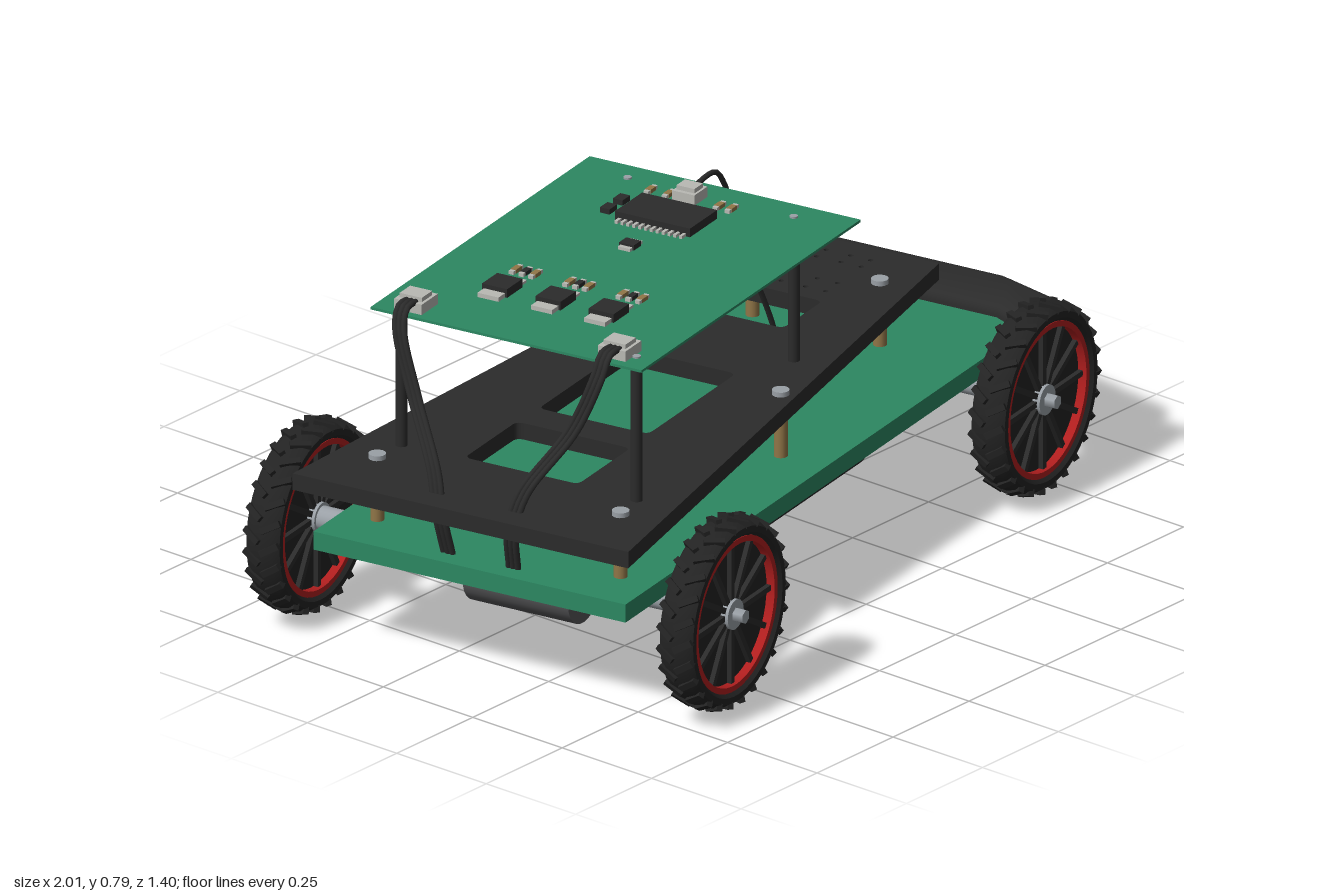
import * as THREE from 'three';
import { RoundedBoxGeometry } from 'three/addons/geometries/RoundedBoxGeometry.js';
import { toCreasedNormals, mergeGeometries } from 'three/addons/utils/BufferGeometryUtils.js';

const paint = (name, color) => {
  const m = new THREE.MeshStandardMaterial({ color });
  m.name = name;
  return m;
};

export function createModel() {
  const black = paint('blackPlastic', 0x2b2b2b);
  const rubber = paint('tyreRubber', 0x232323);
  const green = paint('boardGreen', 0x2c8862);
  const red = paint('rimRed', 0xb01e1e);
  const steel = paint('steelGrey', 0x9aa0a6);
  const light = paint('connectorGrey', 0xb9b9b4);
  const brass = paint('brass', 0x917648);
  const motorGrey = paint('motorGrey', 0x555557);

  const model = new THREE.Group();
  model.name = 'robotCar';
  model.rotation.y = 0.176;
  // Car space: x runs to the front, z is sideways, symmetric about z = 0
  const car = new THREE.Group();
  car.name = 'car';
  car.position.z = -0.012;
  model.add(car);

  const add = (name, geo, mat, x = 0, y = 0, z = 0, parent = car) => {
    const m = new THREE.Mesh(geo, mat);
    m.name = name;
    m.position.set(x, y, z);
    parent.add(m);
    return m;
  };
  const box = (name, mat, w, h, d, x, y, z) =>
    add(name, new THREE.BoxGeometry(w, h, d), mat, x, y, z);
  const rod = (name, mat, r, y0, y1, x, z) =>
    add(name, new THREE.CylinderGeometry(r, r, y1 - y0, 16), mat, x, (y0 + y1) / 2, z);
  const crossRod = (r, len, sides = 24) =>
    new THREE.CylinderGeometry(r, r, len, sides).rotateX(Math.PI / 2);

  // Lower board
  box('lowerBoard', green, 1.72, 0.042, 0.77, -0.04, 0.256, 0);

  // Tapered deck with three windows and small fixing holes
  const deck = new THREE.Shape([[-0.938, -0.414], [0.718, -0.214], [0.718, 0.214], [-0.938, 0.414]]
    .map(p => new THREE.Vector2(...p)));
  const windowHole = (x0, x1, h, r = 0.018) => {
    const p = new THREE.Path();
    p.moveTo(x0 + r, -h);
    p.lineTo(x1 - r, -h).quadraticCurveTo(x1, -h, x1, -h + r);
    p.lineTo(x1, h - r).quadraticCurveTo(x1, h, x1 - r, h);
    p.lineTo(x0 + r, h).quadraticCurveTo(x0, h, x0, h - r);
    p.lineTo(x0, -h + r).quadraticCurveTo(x0, -h, x0 + r, -h);
    deck.holes.push(p);
  };
  windowHole(-0.68, -0.46, 0.14);
  windowHole(-0.375, -0.005, 0.135);
  windowHole(0.255, 0.42, 0.1);
  for (const x of [0.47, 0.52, 0.62, 0.66]) for (const z of [-0.08, -0.03, 0.03, 0.08]) {
    deck.holes.push(new THREE.Path().absarc(x, z, 0.006, 0, Math.PI * 2));
  }
  add('deck', new THREE.ExtrudeGeometry(deck, { depth: 0.038, bevelEnabled: false, curveSegments: 5 })
    .rotateX(-Math.PI / 2), black, 0, 0.382, 0);

  // Upper circuit board
  box('upperBoard', green, 0.926, 0.006, 0.668, -0.282, 0.749, 0);

  // Pillars, spacers and screws, mirrored
  for (const s of [1, -1]) {
    for (const [x, z] of [[-0.69, 0.29], [0.12, 0.205]]) {
      rod('pillar', black, 0.013, 0.42, 0.746, x, s * z);
      rod('pillarScrew', steel, 0.009, 0.75, 0.756, x, s * z);
    }
    for (const [x, z] of [[-0.775, 0.3], [-0.05, 0.272], [0.566, 0.157]]) {
      rod('spacer', brass, 0.015, 0.277, 0.382, x, s * z);
      rod('spacerScrew', steel, 0.019, 0.42, 0.431, x, s * z);
      rod('lowerScrew', steel, 0.017, 0.226, 0.235, x, s * z);
    }
  }

  // Battery case and motors under the lower board
  add('batteryCase', new RoundedBoxGeometry(0.89, 0.165, 0.46, 4, 0.04), black, -0.025, 0.157, 0);
  for (const x of [0.59, -0.69]) add('motor', crossRod(0.068, 0.26, 28), motorGrey, x, 0.175, 0.03);

  // Swept bumper
  const half = [[0.815, 0.3], [0.75, 0.43], [0.728, 0.475], [0.742, 0.496], [0.86, 0.498],
    [0.885, 0.485], [0.9, 0.455], [0.962, 0.262], [0.97, 0.235]];
  const outline = [...half, ...half.slice().reverse().map(([x, z]) => [x, -z])];
  const bumperShape = new THREE.Shape(outline.map(p => new THREE.Vector2(...p)));
  const bumperGeo = new THREE.ExtrudeGeometry(bumperShape, {
    depth: 0.13, bevelThickness: 0.025, bevelSize: 0.025, bevelOffset: -0.025, bevelSegments: 4,
  }).rotateX(-Math.PI / 2);
  add('bumper', toCreasedNormals(bumperGeo, 0.6), black, 0, 0.153, 0);
  for (const z of [-0.237, 0, 0.237]) {
    add('sensor', new THREE.CylinderGeometry(0.022, 0.028, 0.016, 24).rotateZ(-Math.PI / 2), steel, 0.971, 0.255, z);
  }

  // Wheel geometries, axle along z
  const ring = pts => new THREE.LatheGeometry(pts.map(p => new THREE.Vector2(...p)), 48).rotateX(Math.PI / 2);
  const tyreGeo = toCreasedNormals(ring([[0.172, -0.03], [0.182, -0.041], [0.196, -0.041], [0.206, -0.026],
    [0.209, 0], [0.206, 0.026], [0.196, 0.041], [0.182, 0.041], [0.172, 0.03], [0.172, -0.03]]), 0.6);
  const rimGeo = toCreasedNormals(ring([[0.161, -0.034], [0.174, -0.034], [0.174, 0.034],
    [0.161, 0.034], [0.161, -0.034]]), 0.5);
  const lugs = [], spokes = [];
  for (let i = 0; i < 26; i++) for (const s of [1, -1]) {
    const a = ((i + (s > 0 ? 0.5 : 0)) / 26) * Math.PI * 2;
    lugs.push(new THREE.BoxGeometry(0.014, 0.016, 0.046).rotateX(s * 0.2).rotateY(s * 0.55)
      .translate(0, 0.2045, s * 0.021).rotateZ(a));
  }
  for (let i = 0; i < 12; i++) {
    spokes.push(new THREE.BoxGeometry(0.013, 0.14, 0.05).translate(0, 0.095, 0).rotateZ(i * Math.PI / 6));
  }
  const lugGeo = mergeGeometries(lugs), spokeGeo = mergeGeometries(spokes);

  for (const x of [0.615, -0.703]) for (const s of [1, -1]) {
    const wheel = new THREE.Group();
    wheel.name = 'wheel';
    wheel.position.set(x, 0.214, s * 0.51);
    car.add(wheel);
    add('tyre', tyreGeo, rubber, 0, 0, 0, wheel);
    add('tread', lugGeo, rubber, 0, 0, 0, wheel);
    add('rim', rimGeo, red, 0, 0, 0, wheel);
    add('wheelDisc', crossRod(0.163, 0.028, 40), rubber, 0, 0, 0, wheel);
    add('spokes', spokeGeo, black, 0, 0, 0, wheel);
    add('hub', crossRod(0.034, 0.064, 20), steel, 0, 0, 0, wheel);
    add('axleNut', crossRod(0.016, 0.03, 6), steel, 0, 0, s * 0.042, wheel);
    add('axle', crossRod(0.027, 0.24, 20), steel, 0, 0, -s * 0.14, wheel);
  }

  // Components on the upper board
  const top = 0.752;
  const part = (name, mat, w, h, d, x, z) => box(name, mat, w, h, d, x, top + h / 2, z + 0.012);
  for (const [x, z] of [[-0.694, -0.264], [-0.69, 0.236], [0.093, -0.048]]) {
    const w = x > 0 ? 0.055 : 0.068;
    part('connector', light, w, 0.024, w, x, z);
    part('connectorTop', light, w * 0.65, 0.034, w * 0.8, x, z);
  }
  part('mainChip', black, 0.115, 0.02, 0.185, -0.026, -0.037);
  for (let i = 0; i < 12; i++) part('chipPins', light, 0.15, 0.007, 0.007, -0.026, -0.117 + i * 0.0145);
  for (const z of [-0.15, -0.018, 0.113]) {
    part('driverChip', black, 0.065, 0.02, 0.062, -0.525, z);
    part('driverTab', light, 0.03, 0.01, 0.052, -0.57, z);
    for (let i = -1; i <= 1; i++) {
      part('driverPin', light, 0.03, 0.006, 0.009, -0.48, z + i * 0.021);
      part('resistor', i ? brass : black, 0.024, 0.009, 0.014, -0.425, z + i * 0.024);
      part('resistorEnds', light, 0.042, 0.008, 0.012, -0.425, z + i * 0.024);
    }
  }
  part('smallChip', black, 0.03, 0.012, 0.036, -0.19, -0.03);
  part('smallChipPins', light, 0.052, 0.007, 0.03, -0.19, -0.03);
  for (const x of [-0.05, 0.005]) part('capacitor', black, 0.032, 0.012, 0.024, x, -0.165);
  for (const z of [-0.14, -0.095, 0.03, 0.06]) {
    part('resistor', brass, 0.022, 0.009, 0.014, 0.085, z);
    part('resistorEnds', light, 0.04, 0.008, 0.012, 0.085, z);
  }

  // Cables
  const cable = (pts, r, dx = 0, dz = 0) => {
    const curve = new THREE.CatmullRomCurve3(pts.map(([x, y, z]) => new THREE.Vector3(x + dx, y, z + dz)));
    add('cable', new THREE.TubeGeometry(curve, 36, r, 8), black);
  };
  for (const s of [1, -1]) for (const k of [-1, 0, 1]) {
    cable([[-0.7, 0.773, s * 0.25], [-0.755, 0.772, s * 0.25], [-0.775, 0.73, s * 0.245],
      [-0.8, 0.6, s * 0.195], [-0.86, 0.46, s * 0.11], [-0.875, 0.38, s * 0.09],
      [-0.85, 0.27, s * 0.08]], 0.007, 0, k * 0.011);
  }
  cable([[0.1, 0.773, -0.036], [0.2, 0.774, -0.036], [0.24, 0.73, -0.036], [0.31, 0.55, -0.03],
    [0.375, 0.42, -0.02], [0.41, 0.34, -0.015], [0.43, 0.27, -0.01]], 0.006);

  return model;
}
